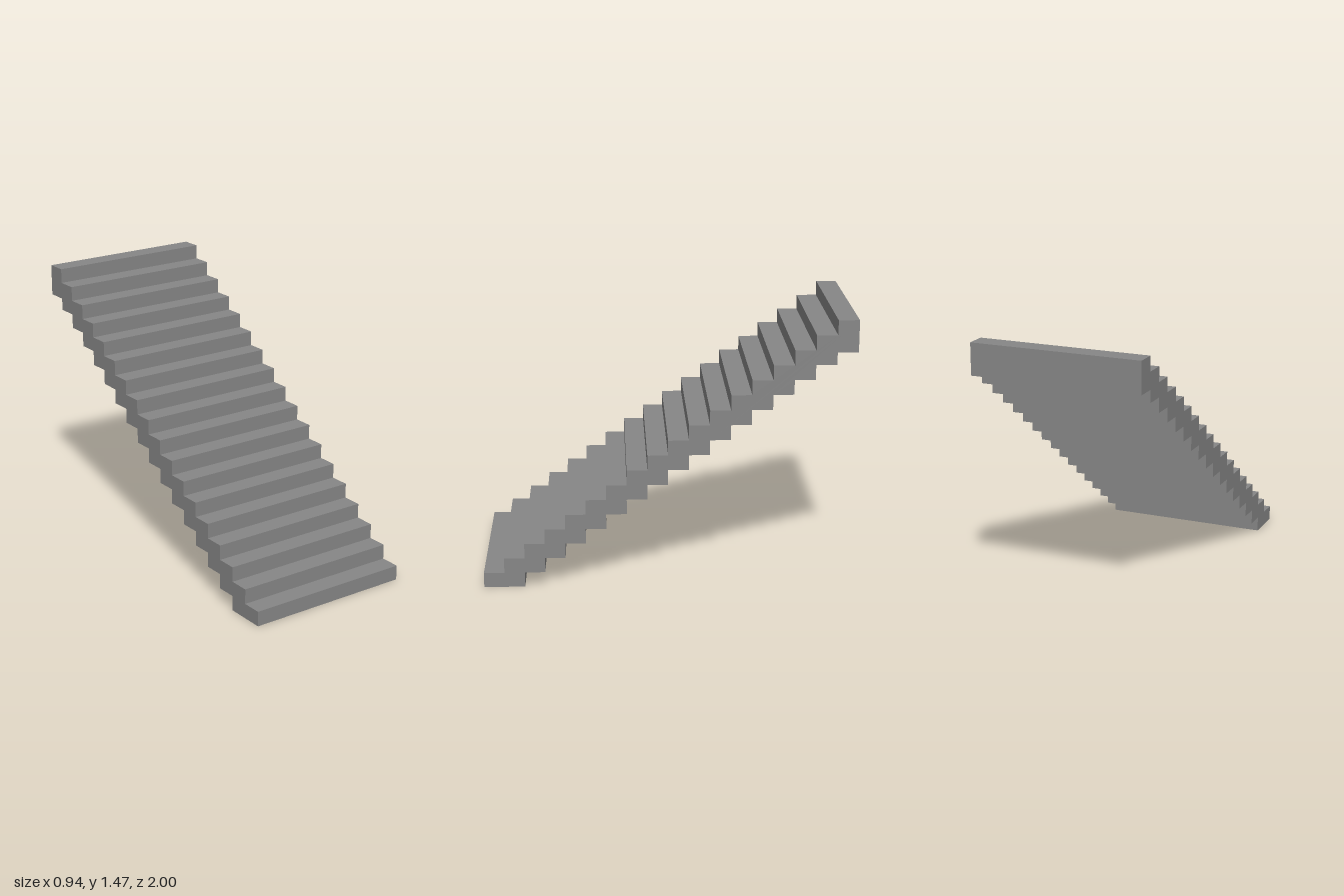
import * as THREE from 'three';

const STEPS = 18;
const WIDTH = 0.94;
const TREAD = 2 / STEPS;

// Height of the i-th tread; the upper risers are slightly lower
const level = (i) => (i <= 13 ? 0.0825 * i : 1.0725 + 0.0802 * (i - 13));

// Underside of the i-th step: two risers below its tread
const underside = (i) => (i === STEPS - 1 ? 1.3 : level(Math.max(0, i - 1)));

export function createModel() {
  const group = new THREE.Group();
  group.name = 'staircase';

  // Side profile: back along the stepped underside, then down the treads
  const points = [];
  for (let i = 0; i < STEPS; i++) {
    const start = -1 + i * TREAD;
    if (i !== 1) points.push(new THREE.Vector2(start, underside(i)));
    if (i !== 0) points.push(new THREE.Vector2(start + TREAD, underside(i)));
  }
  for (let i = STEPS - 1; i >= 0; i--) {
    const start = -1 + i * TREAD;
    points.push(new THREE.Vector2(start + TREAD, level(i + 1)));
    points.push(new THREE.Vector2(start, level(i + 1)));
  }

  // Extrude across the width and turn so the stairs climb towards -z
  const geometry = new THREE.ExtrudeGeometry(new THREE.Shape(points), {
    depth: WIDTH,
    bevelEnabled: false,
  });
  geometry.translate(0, 0, -WIDTH / 2);
  geometry.rotateY(Math.PI / 2);

  // Dark grey stone
  const material = new THREE.MeshStandardMaterial({ color: 0x868686, flatShading: true });
  const flight = new THREE.Mesh(geometry, material);
  flight.name = 'stairFlight';
  group.add(flight);
  return group;
}
